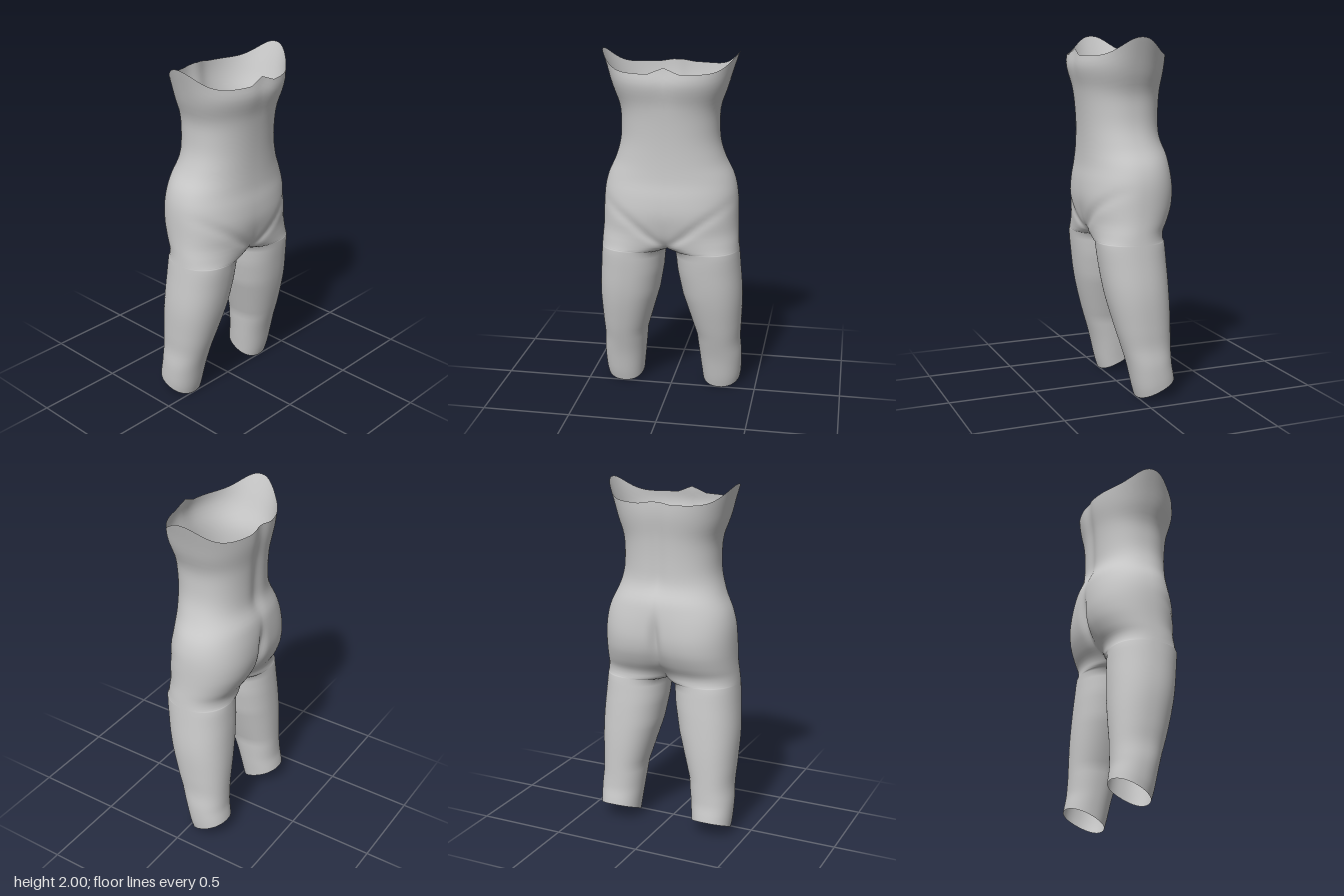
import * as THREE from 'three';
import { mergeVertices } from 'three/addons/utils/BufferGeometryUtils.js';

// Profiles along the height: [y, value]
const OUTER = [[0, .395], [.05, .405], [.1, .41], [.2, .412], [.3, .405], [.4, .41], [.6, .416], [.8, .403], [1, .388], [1.2, .38],
  [1.3, .358], [1.4, .312], [1.5, .282], [1.6, .275], [1.7, .282], [1.8, .317], [1.9, .347], [2, .38]];
const FRONT = [[0, 0], [.05, .015], [.2, .05], [.4, .11], [.6, .16], [.8, .19], [.95, .205], [1.1, .23], [1.2, .228], [1.3, .215],
  [1.45, .212], [1.6, .22], [1.72, .235], [1.84, .264], [1.92, .255], [2, .25]];
const BACK = [[0, -.225], [.1, -.22], [.2, -.205], [.5, -.203], [.7, -.195], [.85, -.185], [.93, -.182], [1, -.22], [1.08, -.252],
  [1.18, -.264], [1.35, -.25], [1.45, -.217], [1.55, -.212], [1.7, -.22], [1.85, -.24], [2, -.24]];
const INNER = [[0, .18], [.1, .17], [.2, .162], [.33, .15], [.5, .1], [.6, .07], [.75, .042], [.88, .03], [.885, 0], [2, 0]];
// How far each half stays a separate round: 1 is a whole leg, 0 is half a torso
const SPLIT_FRONT = [[0, 1], [.885, 1], [.89, .93], [.9, .8], [.92, .62], [.96, .38], [1, .22], [1.1, .08], [1.2, .02], [1.3, 0], [2, 0]];
const SPLIT_BACK = [[0, 1], [.885, 1], [.89, .95], [.9, .88], [.95, .72], [1, .58], [1.1, .42], [1.2, .3], [1.3, .15], [1.4, .06], [2, .04]];

function sample(keys, y, smooth) {
  const n = keys.length - 1;
  let i = 0;
  while (i < n - 1 && y > keys[i + 1][0]) i++;
  const [y0, a] = keys[i], [y1, b] = keys[i + 1], h = y1 - y0;
  const t = THREE.MathUtils.clamp((y - y0) / h, 0, 1);
  if (!smooth) return a + (b - a) * t;
  const slope = j => {
    const p = keys[Math.max(j - 1, 0)], q = keys[Math.min(j + 1, n)];
    return (q[1] - p[1]) / (q[0] - p[0]) * h;
  };
  const t2 = t * t, t3 = t2 * t;
  return a * (2 * t3 - 3 * t2 + 1) + slope(i) * (t3 - 2 * t2 + t) + b * (3 * t2 - 2 * t3) + slope(i + 1) * (t3 - t2);
}

const ROUND = .9; // slightly squared cross-sections
const power = v => Math.sign(v) * Math.abs(v) ** ROUND;
const bump = (d, w) => Math.exp(-((d / w) ** 2));

// One point of the left half: row height and position u around the outside
function surfacePoint(row, u) {
  const kF = sample(SPLIT_FRONT, row), kB = sample(SPLIT_BACK, row);
  const start = -Math.asin(kF ** (1 / ROUND)), end = Math.PI + Math.asin(kB ** (1 / ROUND));
  const phi = start + (end - start) * u;
  const s = power(Math.sin(phi)), c = power(Math.cos(phi));
  const k = phi < Math.PI / 2 ? kF : kB;

  // slanted leg openings, and a top rim that rises at the sides and centre
  const low = 1 - THREE.MathUtils.smoothstep(row, 0, .3);
  const high = THREE.MathUtils.smoothstep(row, 1.65, 1.9);
  const side = Math.max(0, s) ** 9;
  const y = row + low * .1 * (1 - c) / 2 + high * (.1 * side + .035 * Math.max(0, 1 - Math.abs(s) / .25) * (c > 0 ? 1 : .4));

  const ix = sample(INNER, row), ox = sample(OUTER, y, true);
  let x = ix + (ox - ix) * (k + s) / (1 + k);
  if (row >= .885 && (u === 0 || u === 1)) x = 0;
  const f = sample(FRONT, y, true), b = sample(BACK, y, true);
  let z = (f + b) / 2 + (f - b) / 2 * c;

  // groin crease, front midline and spine hollow
  if (c > 0) {
    z -= .009 * c * bump(y - .9 - .95 * x + .6 * x * x, .035) * THREE.MathUtils.smoothstep(y, .9, .97);
    z -= .008 * high * bump(x, .06);
  } else {
    z += .022 * bump(x, .03) * bump(y - 1.15, .12) + .012 * bump(x, .05) * THREE.MathUtils.smoothstep(y, 1.3, 1.5);
  }
  return [x, y, z];
}

function bodyGeometry() {
  const rows = [];
  for (let y = 0; y < .87; y += .03) rows.push(y);
  rows.push(.88, .885, .8875, .89, .895, .9, .91, .92, .935, .95, .965, .98);
  for (let i = 0; i <= 36; i++) rows.push(1 + i * .025);

  const segments = 72, w = segments + 1, position = [], index = [];
  for (const side of [1, -1]) {
    const base = position.length / 3;
    rows.forEach((row, i) => {
      for (let j = 0; j <= segments; j++) {
        const [x, y, z] = surfacePoint(row, j / segments);
        position.push(side * x, y, z);
        if (i === 0 || j === 0) continue;
        const d = base + i * w + j, c = d - 1, b = d - w, a = b - 1;
        if (side > 0) index.push(a, b, d, a, d, c);
        else index.push(a, d, b, a, c, d);
      }
    });
  }
  let geometry = new THREE.BufferGeometry();
  geometry.setAttribute('position', new THREE.Float32BufferAttribute(position, 3));
  geometry.setIndex(index);
  geometry = mergeVertices(geometry, 1e-4);
  geometry.computeVertexNormals();
  return geometry;
}

export function createModel() {
  const group = new THREE.Group();
  group.name = 'lowerBodyForm';
  // open shell: waist, hips and two thighs
  const material = new THREE.MeshStandardMaterial({ color: 0xcccccc, side: THREE.DoubleSide });
  const body = new THREE.Mesh(bodyGeometry(), material);
  body.name = 'waistHipsAndLegs';
  group.add(body);
  return group;
}
